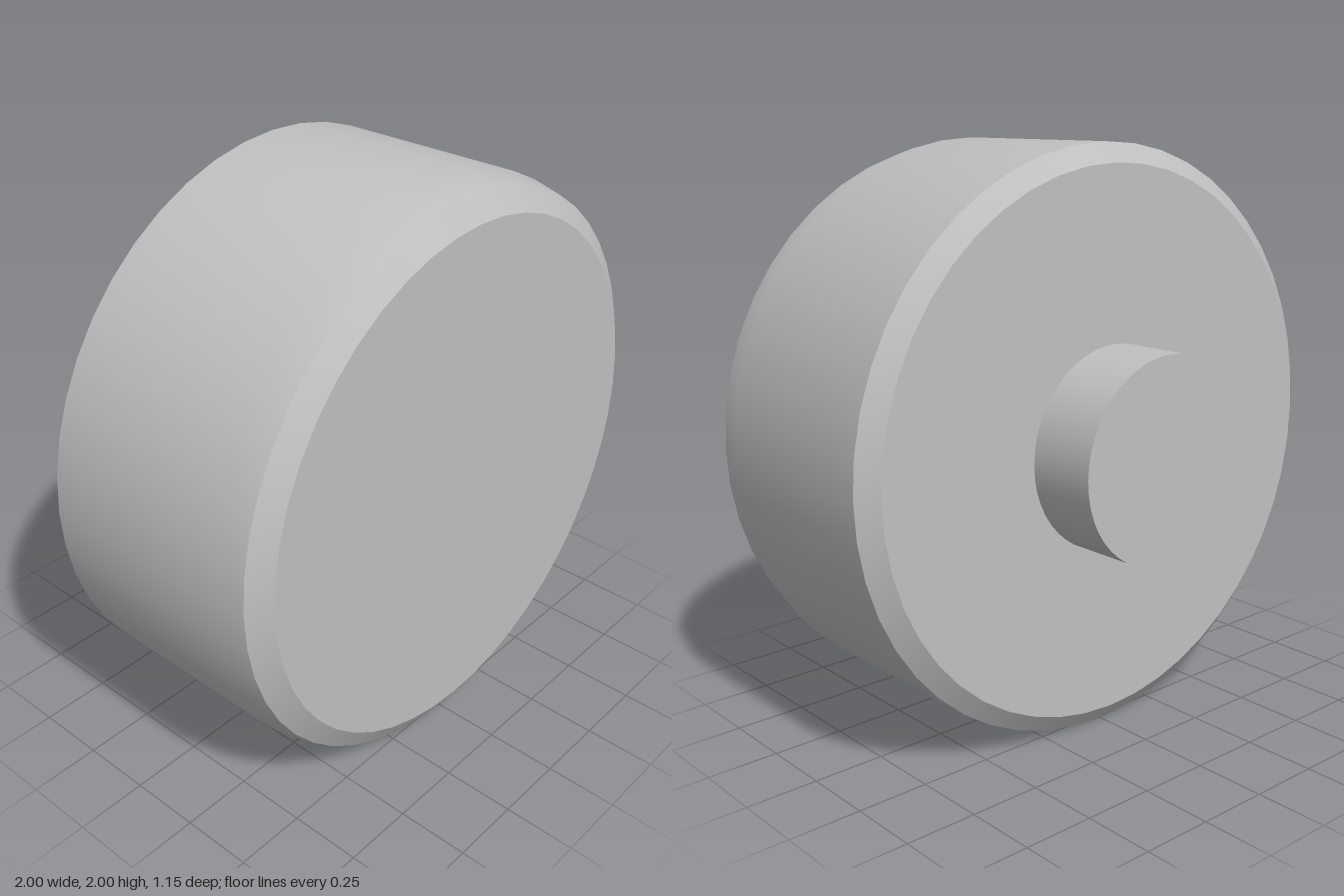
import * as THREE from 'three';
import { toCreasedNormals } from 'three/addons/utils/BufferGeometryUtils.js';

const SEGMENTS = 48;

// Revolve [radius, z] points, listed back to front, around the z axis
function turned(name, profile, material) {
  const points = profile.map(([r, z]) => new THREE.Vector2(r, z));
  const lathe = new THREE.LatheGeometry(points, SEGMENTS).rotateX(Math.PI / 2);
  const mesh = new THREE.Mesh(toCreasedNormals(lathe, 0.5), material);
  mesh.name = name;
  return mesh;
}

export function createModel() {
  const grey = new THREE.MeshStandardMaterial({ color: 0xc0c0c0 });
  grey.name = 'plain grey';

  const model = new THREE.Group();
  model.name = 'knob';

  // Wide drum with a bevelled back rim and a two-step bevel at the front
  model.add(turned('knobBody', [
    [0, -0.325], [0.935, -0.325], [1, -0.275], [1, 0.42],
    [0.975, 0.525], [0.9, 0.575], [0, 0.575],
  ], grey));

  // Short mounting stem on the back
  model.add(turned('stem', [
    [0, -0.575], [0.35, -0.575], [0.35, -0.325],
  ], grey));

  model.children.forEach((part) => { part.position.y = 1; });
  return model;
}
